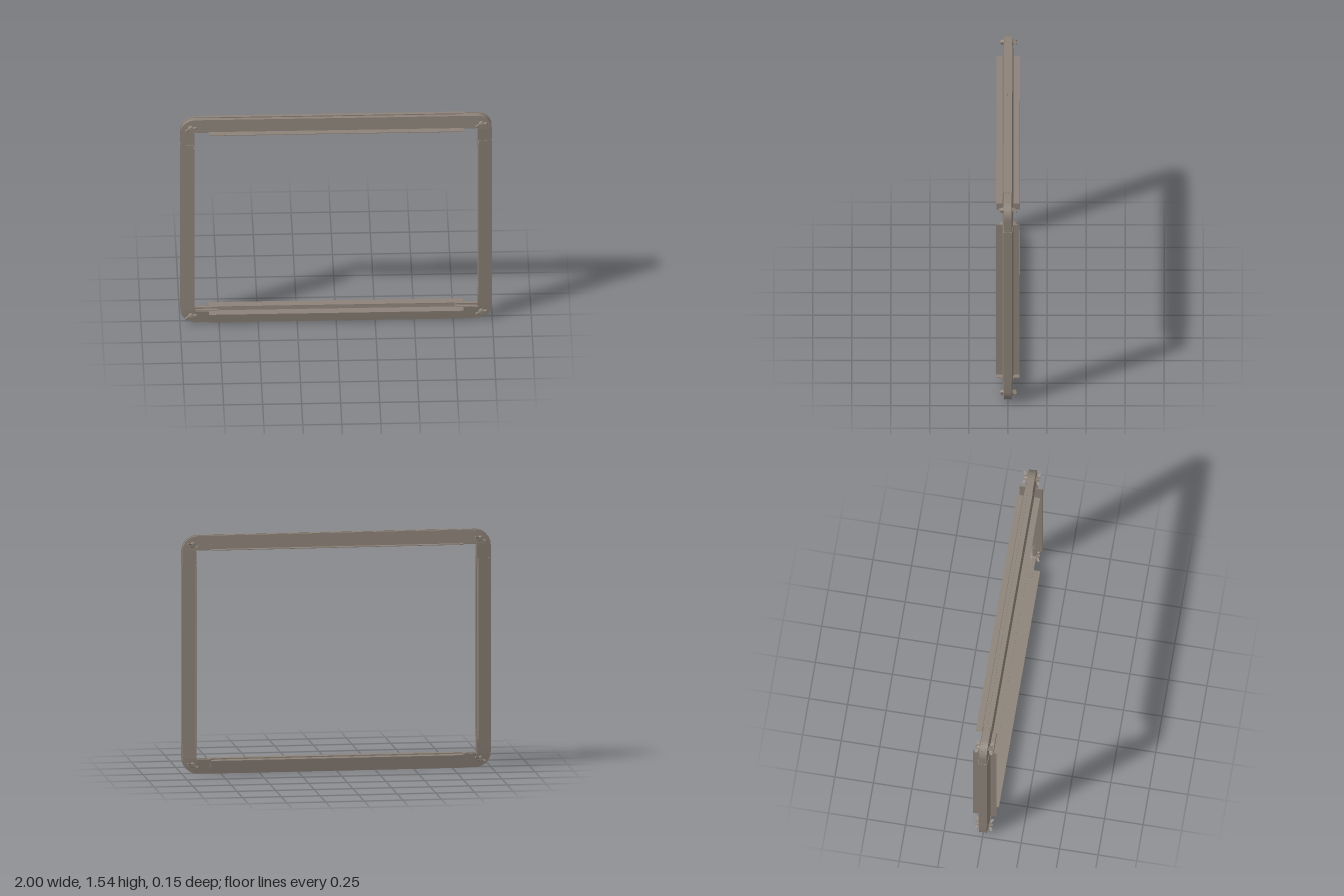
import * as THREE from 'three';
import { toCreasedNormals } from 'three/addons/utils/BufferGeometryUtils.js';

const HALF_W = 1, HALF_H = 0.772;
const metal = new THREE.MeshStandardMaterial({ color: 0x8c8278, side: THREE.DoubleSide });
metal.name = 'warm grey metal';

// Half profiles as [z, depth from outer edge], mirrored into closed loops
const mirrorLoop = half => [...half, ...half.slice().reverse().filter(p => p[0] > 0).map(([z, d]) => [-z, d])];
const barProfile = mirrorLoop([
  [0, 0.008], [0.005, 0.008], [0.005, 0], [0.027, 0], [0.036, 0.086], [0.075, 0.086], [0.075, 0.09],
  [0.022, 0.09], [0.022, 0.086], [0.032, 0.086], [0.023, 0.012], [0, 0.012]
]);
const cornerProfile = mirrorLoop([
  [0.014, 0.005], [0.014, 0.002], [0.024, 0.002], [0.033, 0.09], [0.014, 0.09], [0.014, 0.07],
  [0.024, 0.07], [0.018, 0.014], [0.014, 0.014]
]);

function add(parent, geometry, name) {
  const mesh = new THREE.Mesh(geometry, metal);
  mesh.name = name;
  parent.add(mesh);
  return mesh;
}

// Flanged channel, outer edge at y = 0, running along x
function barGeometry(length) {
  const shape = new THREE.Shape(barProfile.map(([z, d]) => new THREE.Vector2(z, -d)));
  return new THREE.ExtrudeGeometry(shape, { depth: length, bevelEnabled: false })
    .translate(0, 0, -length / 2).rotateY(-Math.PI / 2);
}

// Channel swept round a right angle, outer corner at the origin
function elbowGeometry() {
  const R = 0.1, leg = 0.11, steps = 10, n = cornerProfile.length;
  const stations = [[Math.PI / 2, -leg, 0]];
  for (let i = 0; i <= steps; i++) stations.push([Math.PI / 2 * (1 - i / steps), 0, 0]);
  stations.push([0, 0, -leg]);
  const pos = [], index = [];
  for (const [a, sx, sy] of stations)
    for (const [z, d] of cornerProfile)
      pos.push(-R + sx + (R - d) * Math.cos(a), -R + sy + (R - d) * Math.sin(a), z);
  for (let i = 0; i < stations.length - 1; i++)
    for (let j = 0; j < n; j++) {
      const a = i * n + j, d = i * n + (j + 1) % n;
      index.push(a, d, a + n, d, d + n, a + n);
    }
  const g = new THREE.BufferGeometry();
  g.setAttribute('position', new THREE.Float32BufferAttribute(pos, 3));
  g.setIndex(index);
  g.computeVertexNormals();
  return toCreasedNormals(g, 0.5);
}

// Wing nut pointing along +z
function wingNut() {
  const nut = new THREE.Group();
  nut.name = 'wingNut';
  add(nut, new THREE.CylinderGeometry(0.013, 0.019, 0.022, 20).rotateX(Math.PI / 2).translate(0, 0, 0.037), 'nutHub');
  add(nut, new THREE.CylinderGeometry(0.007, 0.007, 0.03, 16).rotateX(Math.PI / 2).translate(0, 0, 0.04), 'boltEnd');
  for (const s of [-1, 1]) {
    const wing = new THREE.Shape();
    wing.moveTo(0.006, 0.03);
    wing.lineTo(0.028, 0.036);
    wing.quadraticCurveTo(0.044, 0.044, 0.039, 0.054);
    wing.quadraticCurveTo(0.034, 0.062, 0.024, 0.052);
    wing.lineTo(0.006, 0.045);
    const g = new THREE.ExtrudeGeometry(wing, { depth: 0.01, bevelEnabled: false, curveSegments: 6 })
      .translate(0, 0, -0.005).rotateX(Math.PI / 2);
    // After the turn the wing height lies along +z
    const mesh = add(nut, g, 'nutWing');
    if (s < 0) mesh.rotation.z = Math.PI;
  }
  nut.rotation.z = 0.35;
  return nut;
}

export function createModel() {
  const model = new THREE.Group();
  model.name = 'clampFrame';

  // Four flanged rails
  const names = ['topRail', 'rightRail', 'bottomRail', 'leftRail'];
  const turns = [0, -Math.PI / 2, Math.PI, Math.PI / 2];
  names.forEach((name, i) => {
    const upright = i % 2 === 1;
    const rail = add(model, barGeometry(upright ? 1.172 : 1.63), name);
    const a = turns[i];
    rail.rotation.z = a;
    const reach = upright ? HALF_W : HALF_H;
    rail.position.set(-Math.sin(a) * reach, HALF_H + Math.cos(a) * reach, 0);
  });

  // Rounded corner brackets with slotted tongues
  const elbow = elbowGeometry();
  [[1, 1], [-1, 1], [-1, -1], [1, -1]].forEach(([sx, sy], k) => {
    const corner = new THREE.Group();
    corner.name = 'cornerBracket';
    add(corner, elbow, 'elbow');
    for (const z of [-0.019, 0.019]) {
      add(corner, new THREE.BoxGeometry(0.14, 0.006, 0.022).translate(-0.17, -0.091, z), 'tongue');
      add(corner, new THREE.BoxGeometry(0.006, 0.14, 0.022).translate(-0.091, -0.17, z), 'tongue');
    }
    corner.position.set(sx * HALF_W, HALF_H + sy * HALF_H, 0);
    corner.rotation.z = k * Math.PI / 2;
    model.add(corner);

    // Wing nuts on the front and back of each corner
    for (const side of [1, -1]) {
      const holder = new THREE.Group();
      holder.name = side > 0 ? 'frontWingNut' : 'backWingNut';
      const nut = wingNut();
      if (side < 0) {
        holder.rotation.y = Math.PI;
        nut.rotation.z = -0.35;
      }
      holder.add(nut);
      holder.position.set(sx * 0.93, HALF_H + sy * (HALF_H - 0.058), 0);
      model.add(holder);
    }
  });
  return model;
}
